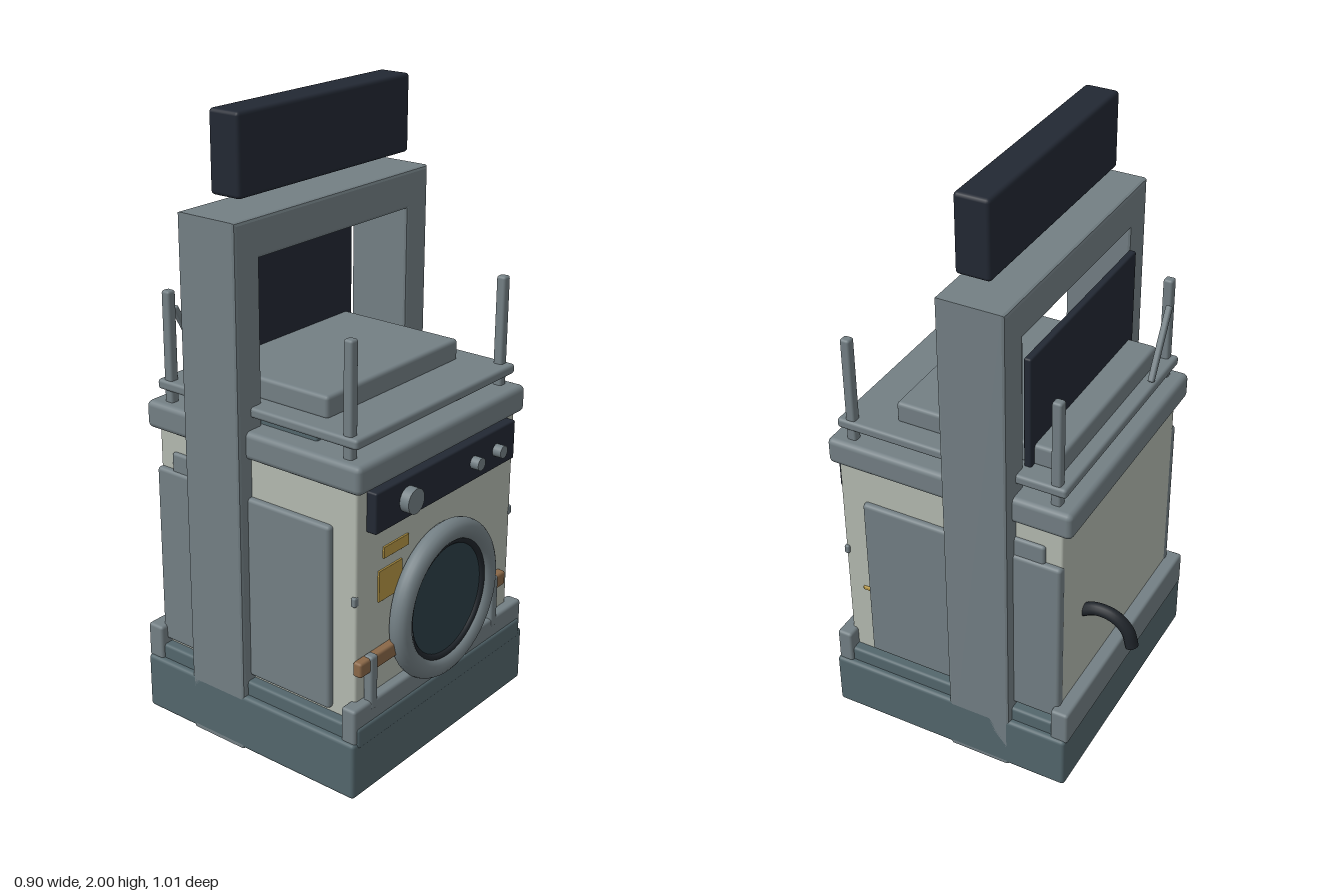
import * as THREE from 'three';
import { RoundedBoxGeometry } from 'three/addons/geometries/RoundedBoxGeometry.js';

const mat = (color) => new THREE.MeshStandardMaterial({ color });
const STEEL = mat(0x737f84), TEAL = mat(0x53666c), DARK = mat(0x222833), BODY = mat(0xb4bab0);
const GLASS = mat(0x2c4048), YELLOW = mat(0xb59645), BROWN = mat(0x8a6848), RUBBER = mat(0x20252b);

export function createModel() {
  const root = new THREE.Group();

  const add = (name, geometry, material, x = 0, y = 0, z = 0) => {
    const mesh = new THREE.Mesh(geometry, material);
    mesh.name = name;
    mesh.position.set(x, y, z);
    root.add(mesh);
    return mesh;
  };
  // Box given by its extents, with softly rounded edges
  const box = (name, material, [x0, x1], [y0, y1], [z0, z1], r = 0.01) => {
    const w = x1 - x0, h = y1 - y0, d = z1 - z0;
    const radius = Math.min(r, Math.min(w, h, d) * 0.45);
    return add(name, new RoundedBoxGeometry(w, h, d, 2, radius), material,
      (x0 + x1) / 2, (y0 + y1) / 2, (z0 + z1) / 2);
  };
  // Cylinder whose axis points to the front
  const disc = (name, material, r, x, y, z0, z1, sides = 32) => {
    const g = new THREE.CylinderGeometry(r, r, z1 - z0, sides).rotateX(Math.PI / 2);
    return add(name, g, material, x, y, (z0 + z1) / 2);
  };

  // Base with step, front and back rails
  box('base', TEAL, [-0.45, 0.45], [0.033, 0.22], [-0.36, 0.475], 0.012);
  box('baseStep', TEAL, [-0.43, 0.43], [0.2, 0.267], [-0.35, 0.478]);
  box('frontRail', STEEL, [-0.44, 0.44], [0.21, 0.33], [0.42, 0.472]);
  box('backRail', STEEL, [-0.44, 0.44], [0.21, 0.33], [-0.365, -0.305]);
  for (const x of [-0.22, 0, 0.22])
    box('undersideStrip', BROWN, [x - 0.055, x + 0.055], [0.028, 0.05], [-0.34, 0.46], 0.002);
  for (const x of [-0.28, 0.28])
    box('foot', RUBBER, [x - 0.045, x + 0.045], [0, 0.06], [0.29, 0.38], 0.015);

  // Cabinet and its lid
  box('cabinet', BODY, [-0.396, 0.396], [0.25, 1.01], [-0.32, 0.44], 0.008);
  box('lid', STEEL, [-0.418, 0.418], [1.0, 1.088], [-0.355, 0.465], 0.018);
  box('spacer', TEAL, [-0.34, 0.34], [1.08, 1.14], [-0.25, 0.25], 0.005);
  box('topPlate', STEEL, [-0.395, 0.395], [1.125, 1.157], [-0.325, 0.437], 0.01);
  box('topBlock', STEEL, [-0.32, 0.32], [1.15, 1.222], [-0.28, 0.273], 0.012);
  box('screen', DARK, [-0.342, 0.342], [1.1, 1.52], [-0.187, -0.163], 0.006);

  // Mirrored side panels, hinges and corner posts
  for (const s of [-1, 1]) {
    const span = (a, b) => (s > 0 ? [a, b] : [-b, -a]);
    box('sidePanel', STEEL, span(0.38, 0.415), [0.28, 0.877], [-0.322, 0.355], 0.012);
    box('sideVent', STEEL, span(0.38, 0.407), [0.6, 0.937], [-0.265, 0], 0.01);
    box('hinge', STEEL, span(0.385, 0.405), [0.645, 0.675], [0.425, 0.442], 0.005);
    for (const z of [-0.288, 0.395])
      box('post', STEEL, span(0.356, 0.387), [1.08, 1.437], [z - 0.016, z + 0.016], 0.008);
  }
  box('sideTag', YELLOW, [0.39, 0.402], [0.515, 0.528], [0.357, 0.383], 0.003);

  // Slanted rod at the back
  const rod = box('slantedRod', STEEL, [-0.28, -0.26], [1.145, 1.385], [-0.32, -0.3], 0.006);
  rod.rotation.z = Math.atan2(0.115, 0.21);

  // Portal frame over the cabinet
  const frame = new THREE.Shape();
  [[-0.44, 0.043], [-0.355, 0.043], [-0.355, 1.6], [0.355, 1.6], [0.355, 0.043],
    [0.44, 0.043], [0.44, 1.7], [-0.44, 1.7]].forEach(([x, y], i) =>
    i ? frame.lineTo(x, y) : frame.moveTo(x, y));
  frame.closePath();
  add('portalFrame', new THREE.ExtrudeGeometry(frame, {
    depth: 0.196, bevelEnabled: true, bevelThickness: 0.01, bevelSize: 0.01, bevelSegments: 2,
  }), STEEL, 0, 0, -0.156);
  box('signBoard', DARK, [-0.39, 0.39], [1.758, 2], [-0.092, 0.018], 0.012);

  // Control panel and knobs
  box('controlPanel', DARK, [-0.352, 0.352], [0.865, 0.993], [0.43, 0.474], 0.006);
  disc('largeKnob', STEEL, 0.039, -0.205, 0.927, 0.465, 0.505);
  for (const x of [0.128, 0.248]) disc('smallKnob', STEEL, 0.02, x, 0.927, 0.465, 0.503, 20);

  // Round door
  add('doorRing', new THREE.TorusGeometry(0.222, 0.034, 16, 64), STEEL, 0, 0.52, 0.47);
  disc('doorBack', RUBBER, 0.215, 0, 0.52, 0.43, 0.468, 48);
  add('doorSeal', new THREE.TorusGeometry(0.19, 0.014, 12, 64), RUBBER, 0, 0.52, 0.474);
  disc('doorGlass', GLASS, 0.182, 0, 0.52, 0.43, 0.478, 48);

  // Blank labels
  box('smallLabel', YELLOW, [-0.275, -0.155], [0.753, 0.79], [0.43, 0.446], 0.002);
  box('largeLabel', YELLOW, [-0.297, -0.185], [0.62, 0.72], [0.43, 0.446], 0.002);

  // Wooden bar on two brackets
  box('woodenBar', BROWN, [-0.408, 0.345], [0.424, 0.472], [0.437, 0.468], 0.008);
  for (const x of [-0.348, 0.28])
    box('barBracket', STEEL, [x - 0.016, x + 0.016], [0.3, 0.477], [0.442, 0.474], 0.008);

  // Drain hose
  const path = new THREE.CatmullRomCurve3([[0.585, -0.3], [0.613, -0.36], [0.607, -0.42],
    [0.57, -0.464], [0.513, -0.482]].map(([y, z]) => new THREE.Vector3(0.24, y, z)));
  add('drainHose', new THREE.TubeGeometry(path, 24, 0.021, 12), RUBBER);
  const end = new THREE.CircleGeometry(0.021, 12).rotateX(Math.PI / 2);
  add('hoseEnd', end, RUBBER, 0.24, 0.513, -0.482);

  return root;
}
